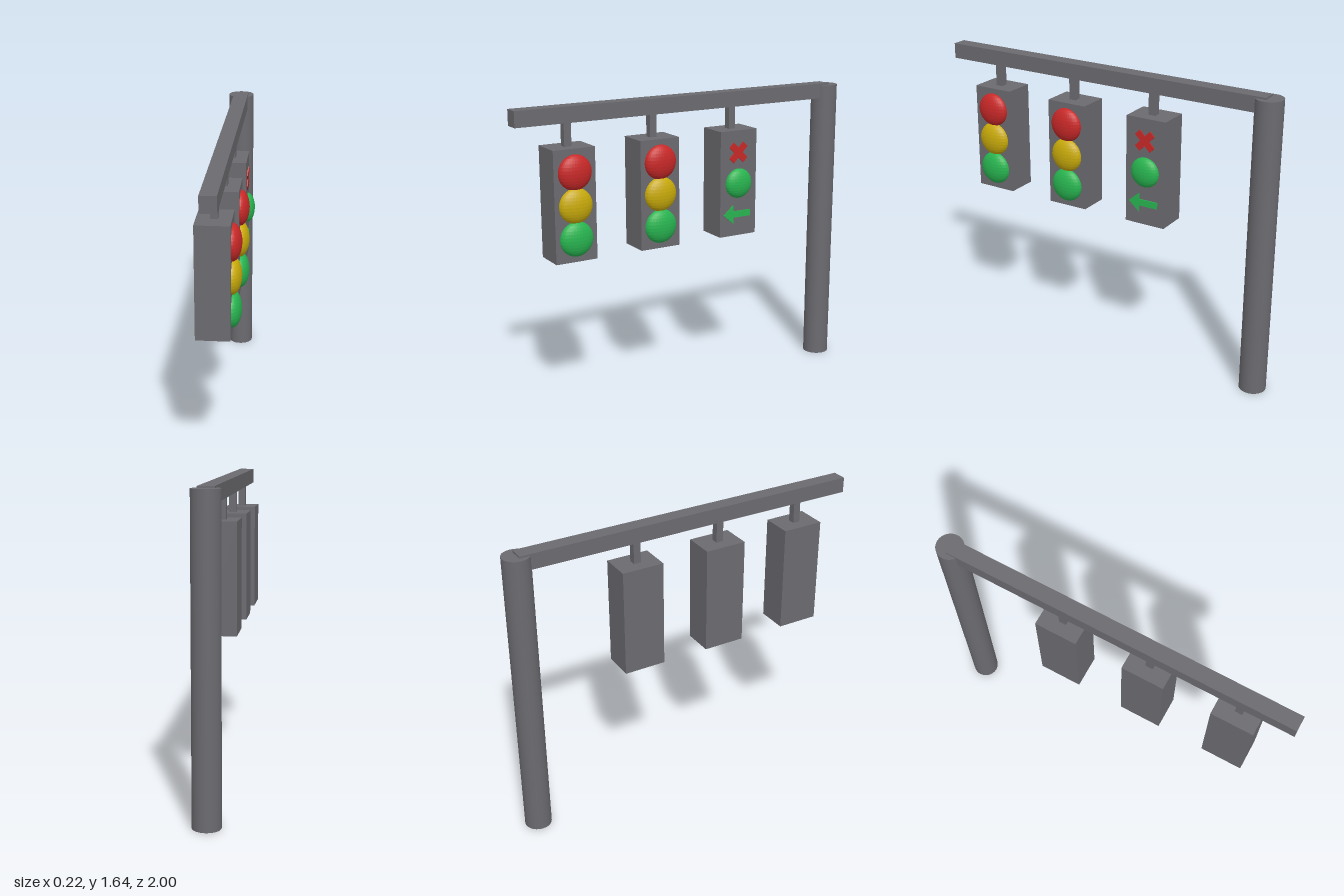
import * as THREE from 'three';

const mat = (color, flatShading = false) => new THREE.MeshStandardMaterial({ color, flatShading });
const GREY = mat(0x6b6a6f);
const RED = mat(0xc82828, true);
const YELLOW = mat(0xc8aa0a, true);
const GREEN = mat(0x28b450, true);

const AXIS_X = -0.025; // centre line of pole and arm
const FACE_X = 0.06;   // lens side of the housings
const ROWS = [1.313, 1.14, 0.965];

function add(parent, name, geometry, material, x, y, z) {
  const mesh = new THREE.Mesh(geometry, material);
  mesh.name = name;
  mesh.position.set(x, y, z);
  parent.add(mesh);
  return mesh;
}

// Domed lens: a squashed sphere half sunk into the housing
function addLens(parent, name, material, y, radius) {
  const lens = add(parent, name, new THREE.SphereGeometry(radius, 32, 16), material, FACE_X, y, 0);
  lens.scale.x = 0.047 / 0.093;
}

// Thin arrow plate pointing towards the free end of the arm
function arrowGeometry() {
  const shape = new THREE.Shape([
    [-0.092, 0], [-0.03, -0.053], [-0.03, -0.018], [0.08, -0.018],
    [0.08, 0.018], [-0.03, 0.018], [-0.03, 0.053],
  ].map(([x, y]) => new THREE.Vector2(x, y)));
  return new THREE.ExtrudeGeometry(shape, { depth: 0.008, bevelEnabled: false }).rotateY(Math.PI / 2);
}

// Housing with the short hanger that joins it to the arm
function signal(name, z) {
  const group = new THREE.Group();
  group.name = name;
  group.position.z = z;
  add(group, 'housing', new THREE.BoxGeometry(0.173, 0.593, 0.233), GREY, -0.0265, 1.1385, 0);
  add(group, 'hanger', new THREE.BoxGeometry(0.04, 0.15, 0.04), GREY, AXIS_X, 1.5, 0.003);
  return group;
}

export function createModel() {
  const model = new THREE.Group();
  model.name = 'trafficLights';

  // Pole and overhead arm
  add(model, 'pole', new THREE.CylinderGeometry(0.073, 0.073, 1.632, 32), GREY, AXIS_X, 0.816, -0.927);
  add(model, 'arm', new THREE.BoxGeometry(0.083, 0.084, 1.925), GREY, AXIS_X, 1.6, 0.0375);

  // Two ordinary three-lens signals
  [['outerSignal', 0.705], ['middleSignal', 0.21]].forEach(([name, z]) => {
    const group = signal(name, z);
    addLens(group, 'redLens', RED, ROWS[0], 0.093);
    addLens(group, 'yellowLens', YELLOW, ROWS[1], 0.093);
    addLens(group, 'greenLens', GREEN, ROWS[2], 0.093);
    model.add(group);
  });

  // Lane signal with a cross, a lens and an arrow
  const lane = signal('laneSignal', -0.285);
  for (const side of [-1, 1]) {
    const bar = add(lane, 'crossBar', new THREE.BoxGeometry(0.012, 0.038, 0.125), RED, FACE_X, ROWS[0], 0.003);
    bar.rotation.x = side * Math.PI / 4;
  }
  addLens(lane, 'greenLens', GREEN, ROWS[1], 0.083);
  add(lane, 'arrow', arrowGeometry(), GREEN, FACE_X - 0.002, ROWS[2], 0.003);
  model.add(lane);

  return model;
}
